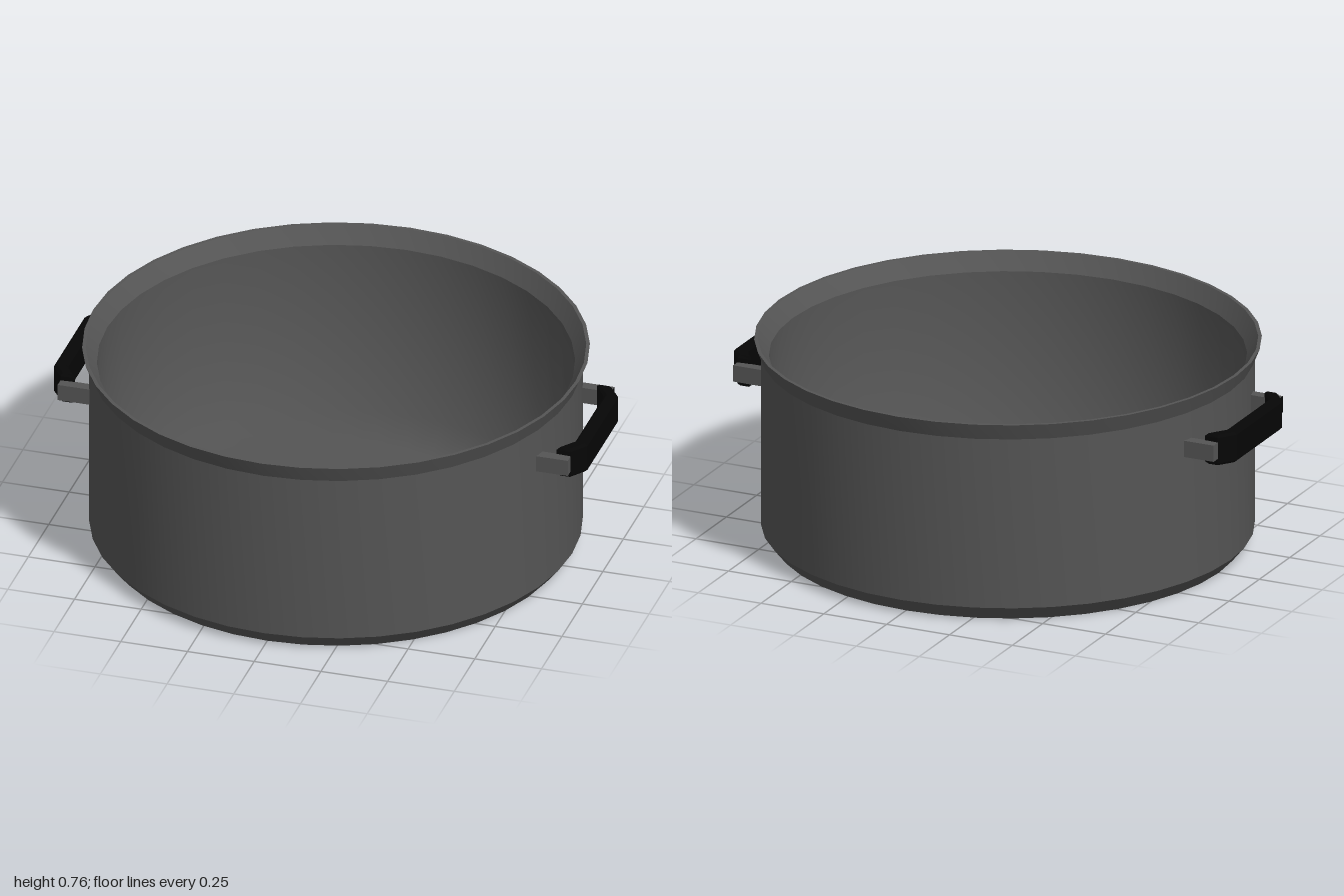
import * as THREE from 'three';
import { toCreasedNormals } from 'three/addons/utils/BufferGeometryUtils.js';

const SEGMENTS = 40;

function lathe(points) {
  return new THREE.LatheGeometry(points.map(([r, y]) => new THREE.Vector2(r, y)), SEGMENTS);
}

function addMesh(parent, name, geometry, material) {
  const mesh = new THREE.Mesh(geometry, material);
  mesh.name = name;
  parent.add(mesh);
  return mesh;
}

export function createModel() {
  const metal = new THREE.MeshStandardMaterial({ color: 0x555555 });
  metal.name = 'dark grey metal';
  const black = new THREE.MeshStandardMaterial({ color: 0x060606 });
  black.name = 'black grip';

  const pot = new THREE.Group();
  pot.name = 'pot';

  // Outer shell: flat base, chamfer, straight wall, flared lip and its inner slope
  const shell = lathe([
    [0, 0], [0.84, 0], [0.885, 0.055], [0.885, 0.7],
    [0.91, 0.763], [0.897, 0.763], [0.857, 0.7],
  ]);
  addMesh(pot, 'outerShell', toCreasedNormals(shell, 0.3), metal);

  // Inside wall and thin floor, softly blended
  const interior = lathe([[0.857, 0.7], [0.852, 0.025], [0.6, 0.025], [0, 0.025]]);
  addMesh(pot, 'interior', interior, metal);

  // Grip outline in x and z: a straight bar with slanted ends
  const bevel = 0.01;
  const outline = new THREE.Shape([
    [0.915, -0.24], [0.95, -0.24], [0.99, -0.185], [0.99, 0.185],
    [0.95, 0.24], [0.915, 0.24], [0.96, 0.178], [0.96, -0.178],
  ].map(([x, z]) => new THREE.Vector2(x, z)));
  const height = 0.117;
  const gripGeometry = new THREE.ExtrudeGeometry(outline, {
    depth: height - 2 * bevel, bevelEnabled: true,
    bevelSize: bevel, bevelThickness: bevel, bevelSegments: 1,
  });
  gripGeometry.translate(0, 0, bevel - height / 2);
  gripGeometry.rotateX(Math.PI / 2);

  // One handle on each side; the rear prong of each has a black end face
  const prongGeometry = new THREE.BoxGeometry(0.12, 0.062, 0.04);
  const cappedProng = [black, metal, metal, metal, metal, metal];
  for (const [name, turn] of [['leftHandle', 0], ['rightHandle', Math.PI]]) {
    const handle = new THREE.Group();
    handle.name = name;
    handle.rotation.y = turn;
    addMesh(handle, 'grip', gripGeometry, black).position.y = 0.566;
    addMesh(handle, 'prong', prongGeometry, metal).position.set(0.896, 0.567, 0.265);
    addMesh(handle, 'cappedProng', prongGeometry, cappedProng).position.set(0.896, 0.567, -0.265);
    pot.add(handle);
  }
  return pot;
}
